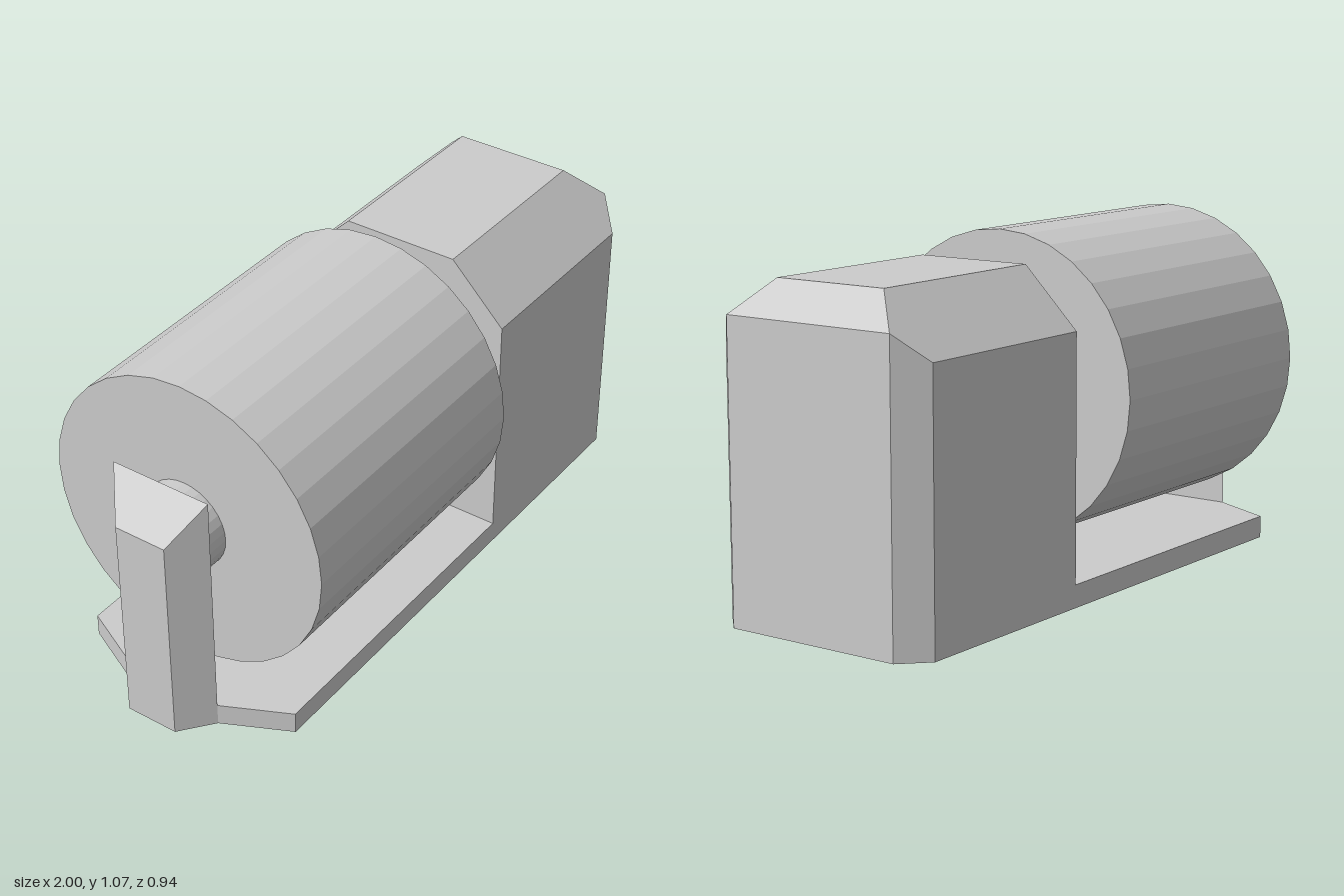
import * as THREE from 'three';
import { ConvexGeometry } from 'three/addons/geometries/ConvexGeometry.js';

const material = new THREE.MeshStandardMaterial({ color: 0xcccccc, flatShading: true });

function part(name, geometry) {
  const mesh = new THREE.Mesh(geometry, material);
  mesh.name = name;
  return mesh;
}

// Convex solid from corners on the +z side, mirrored to -z
function mirroredSolid(corners) {
  return new ConvexGeometry(corners.flatMap(([x, y, z]) => [
    new THREE.Vector3(x, y, z), new THREE.Vector3(x, y, -z),
  ]));
}

// Cylinder lying along x between two ends
function roller(x0, x1, radius) {
  return new THREE.CylinderGeometry(radius, radius, x1 - x0, 32)
    .rotateZ(Math.PI / 2)
    .translate((x0 + x1) / 2, 0.605, 0);
}

export function createModel() {
  const model = new THREE.Group();
  model.name = 'rollerMachine';

  // Housing with bevelled top edges and bevelled outer end
  model.add(part('housing', mirroredSolid([
    [0.26, 0, 0.37], [0.26, 0.815, 0.37], [0.26, 0.995, 0.19],
    [0.92, 0, 0.37], [0.92, 0.815, 0.37], [0.9, 0.995, 0.19],
    [1, 0, 0.29], [1, 0.895, 0.29],
  ])));

  // Thin base plate, narrowing towards the end post
  model.add(part('basePlate', mirroredSolid([0, 0.07].flatMap((y) => [
    [0.26, y, 0.37], [-0.8, y, 0.37], [-0.9, y, 0.165],
  ]))));

  // End post, tapered outwards with a sloping top
  model.add(part('endPost', mirroredSolid([
    [-0.9, 0, 0.165], [-0.9, 0.81, 0.165],
    [-1, 0, 0.085], [-1, 0.68, 0.085],
  ])));

  // Drum on its axle
  model.add(part('drum', roller(-0.8, 0.13, 0.468)));
  model.add(part('axle', roller(-0.9, 0.26, 0.14)));

  return model;
}
